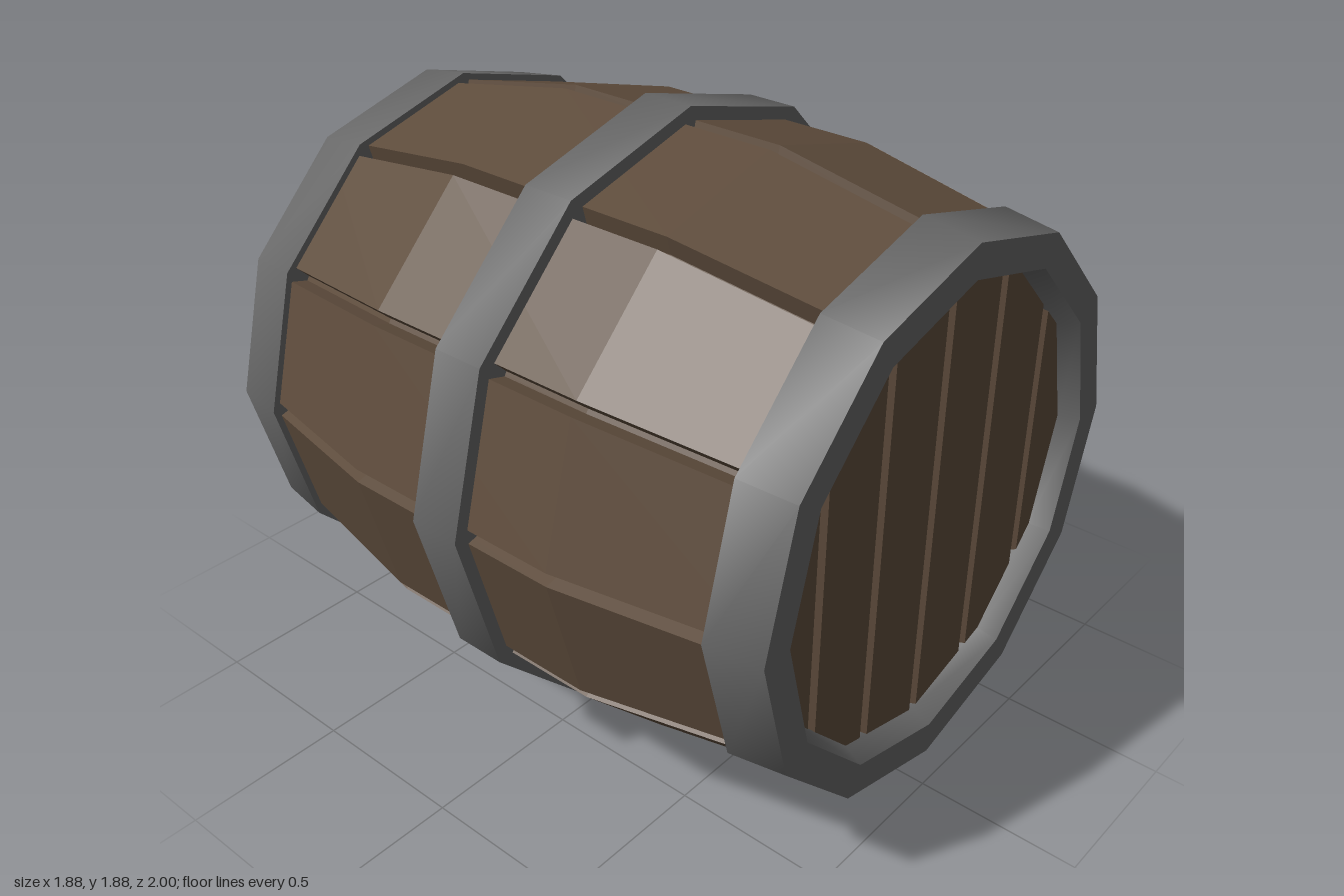
import * as THREE from 'three';
import { toCreasedNormals } from 'three/addons/utils/BufferGeometryUtils.js';

const SIDES = 12;
const STEP = (Math.PI * 2) / SIDES;
const wood = new THREE.MeshStandardMaterial({ color: 0x5e4c3c });
const iron = new THREE.MeshStandardMaterial({ color: 0x666666 });

// Flat-faced surface through a list of cross-sections (arrays of Vector3)
function loft(sections, closed) {
  const pos = [];
  for (let s = 0; s < sections.length - 1; s++) {
    const p = sections[s], q = sections[s + 1], n = p.length;
    for (let i = 0; i < (closed ? n : n - 1); i++) {
      const j = (i + 1) % n;
      for (const v of [p[i], p[j], q[j], p[i], q[j], q[i]]) pos.push(v.x, v.y, v.z);
    }
  }
  const geo = new THREE.BufferGeometry();
  geo.setAttribute('position', new THREE.Float32BufferAttribute(pos, 3));
  geo.computeVertexNormals();
  return geo;
}

// Twelve-sided outline with a tapering groove at every corner
function staveSection(r, z) {
  const corner = (k) => new THREE.Vector3(r * Math.cos(k * STEP), r * Math.sin(k * STEP), z);
  const gap = 0.022 / (2 * r * Math.sin(STEP / 2));
  const pts = [];
  for (let k = 0; k < SIDES; k++) {
    const c = corner(k), a = k * STEP;
    const floor = (t) => new THREE.Vector3(
      (r - 0.06) * Math.cos(a) - t * Math.sin(a), (r - 0.06) * Math.sin(a) + t * Math.cos(a), z);
    pts.push(c.clone().lerp(corner(k - 1), gap), floor(-0.007), floor(0.007), c.clone().lerp(corner(k + 1), gap));
  }
  return pts;
}

// Hoop from a closed [radius, z] profile, turned about the z axis
function hoop(name, profile) {
  const pts = [...profile, profile[0]].map(([r, z]) => new THREE.Vector2(r, z));
  const geo = new THREE.LatheGeometry(pts, SIDES).rotateX(Math.PI / 2);
  const mesh = new THREE.Mesh(toCreasedNormals(geo, 0.7), iron);
  mesh.name = name;
  return mesh;
}

// Half height of the twelve-sided head at x
function headHeight(x, r) {
  const ax = Math.abs(x);
  for (let k = 0; k < 3; k++) {
    const a = Math.PI / 2 - k * STEP, b = a - STEP;
    const x0 = r * Math.cos(a), x1 = r * Math.cos(b);
    if (ax <= x1 + 1e-6) return THREE.MathUtils.lerp(r * Math.sin(a), r * Math.sin(b), (ax - x0) / (x1 - x0));
  }
  return 0;
}

// Planked head: a grooved strip running across x, trimmed to the barrel's outline
function head() {
  const r = 0.7, z = 0.94, line = [];
  for (const x of [-r, -r * Math.sin(2 * STEP), -r / 2, r / 2, r * Math.sin(2 * STEP), r]) line.push([x, z]);
  for (let g = -2; g <= 2; g++) {
    const x = g * 0.256;
    line.push([x - 0.017, z], [x - 0.008, z - 0.025], [x + 0.008, z - 0.025], [x + 0.017, z]);
  }
  line.sort((a, b) => a[0] - b[0]);
  const row = (sign) => line.map(([x, d]) => new THREE.Vector3(x, sign * headHeight(x, r), d));
  const mesh = new THREE.Mesh(loft([row(-1), row(1)], false), wood);
  mesh.name = 'headPlanks';
  return mesh;
}

export function createModel() {
  const barrel = new THREE.Group();
  barrel.name = 'barrel';

  // Bulging body of staves
  const rings = [[0.787, -0.98], [0.9, -0.37], [0.9, 0.37], [0.787, 0.98]];
  const staves = new THREE.Mesh(loft(rings.map(([r, z]) => staveSection(r, z)), true), wood);
  staves.name = 'staves';
  barrel.add(staves);

  // Middle hoop
  barrel.add(hoop('middleHoop', [[0.83, -0.082], [0.94, -0.082], [0.94, 0.082], [0.83, 0.082]]));

  // Rim hoop and recessed head at each end
  for (const [name, turn] of [['frontEnd', 0], ['backEnd', Math.PI]]) {
    const end = new THREE.Group();
    end.name = name;
    end.add(hoop('rimHoop', [[0.74, 0.83], [0.835, 0.83], [0.81, 1], [0.71, 1], [0.683, 0.94], [0.683, 0.9]]), head());
    end.rotation.y = turn;
    barrel.add(end);
  }

  barrel.position.y = 0.94;
  const model = new THREE.Group();
  model.add(barrel);
  return model;
}
